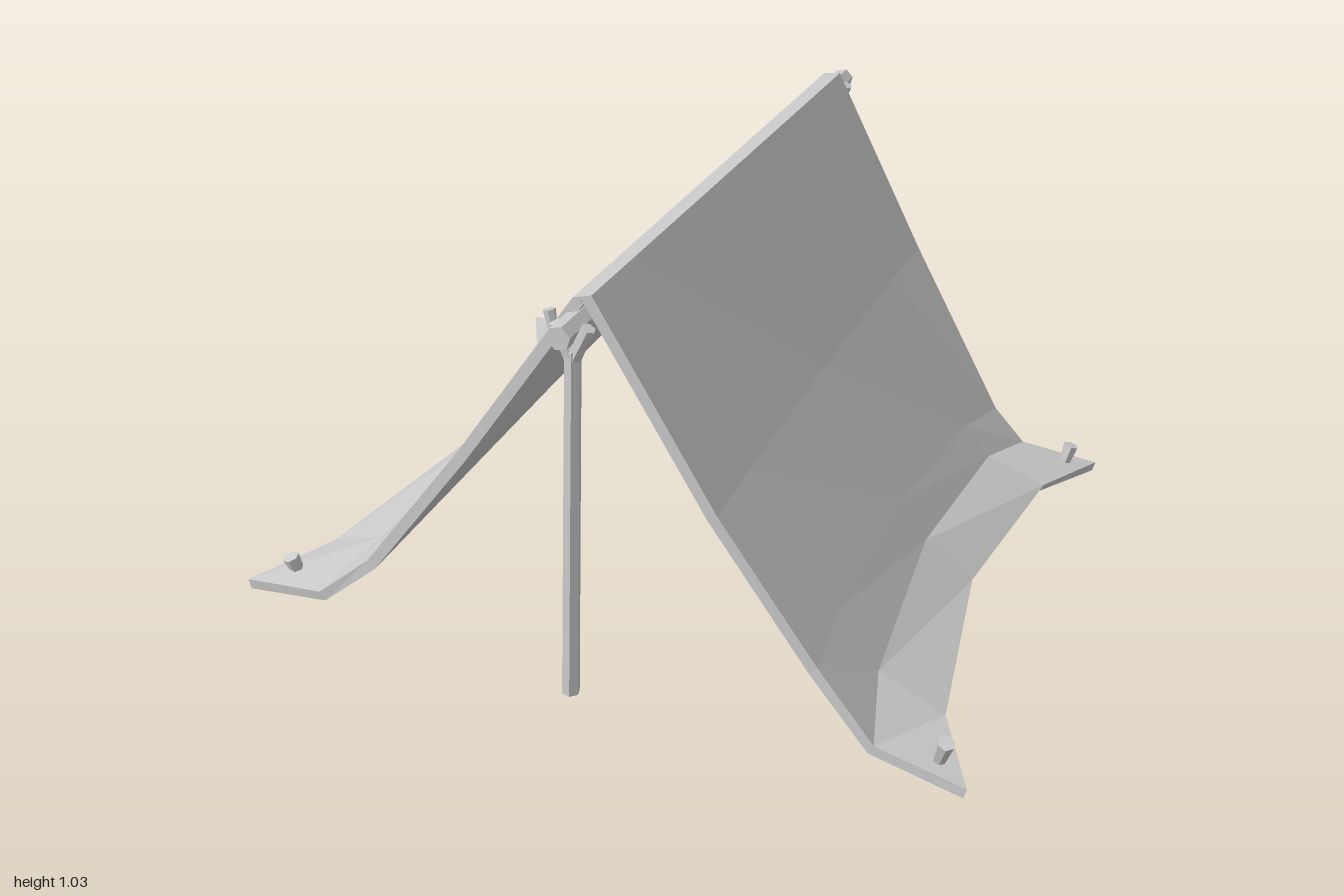
import * as THREE from 'three';

const material = new THREE.MeshStandardMaterial({ color: 0xcccccc, flatShading: true });
const v = (a) => new THREE.Vector3(...a);

// Faceted round bar between two points
function bar(name, from, to, rFrom, rTo, sides = 6) {
  const a = v(from), b = v(to), dir = b.clone().sub(a);
  const mesh = new THREE.Mesh(new THREE.CylinderGeometry(rTo, rFrom, dir.length(), sides), material);
  mesh.position.copy(a).add(b).multiplyScalar(0.5);
  mesh.quaternion.setFromUnitVectors(new THREE.Vector3(0, 1, 0), dir.normalize());
  mesh.name = name;
  return mesh;
}

// Sheet rows from front hem over the ridge to back hem: [left end, right end, inward sag, lift]
const rows = [
  [[-0.43, 0.095, 0.995], [0.88, 0.025, 0.575], 0.16, 0.03],
  [[-0.48, 0.14, 0.80], [0.81, 0.055, 0.40], 0.08, 0.08],
  [[-0.50, 0.29, 0.67], [0.78, 0.145, 0.33], 0.04, 0.05],
  [[-0.55, 0.60, 0.45], [0.77, 0.53, 0.08], 0.01, 0],
  [[-0.60, 1.035, 0.18], [0.745, 0.95, -0.16], 0, 0],
  [[-0.61, 1.022, 0.14], [0.735, 0.943, -0.20], 0, 0],
  [[-0.70, 0.60, -0.12], [0.62, 0.51, -0.48], -0.01, 0],
  [[-0.78, 0.27, -0.34], [0.55, 0.23, -0.70], -0.04, 0.05],
  [[-0.83, 0.165, -0.45], [0.52, 0.10, -0.82], -0.08, 0.07],
  [[-0.88, 0.147, -0.63], [0.51, 0.07, -1.0], -0.18, 0.03],
];
const columns = [0, 0.14, 0.5, 0.86, 1];
const sagShape = [0, 0.6, 1, 0.6, 0];

function sheetGeometry(thickness) {
  const nr = rows.length, nc = columns.length, n = nr * nc;
  const top = [], index = [], rim = [];
  for (const [left, right, sag, lift] of rows) {
    columns.forEach((t, j) => {
      const p = v(left).lerp(v(right), t);
      p.add(new THREE.Vector3(-0.24 * sag, lift, -0.97 * sag).multiplyScalar(sagShape[j]));
      top.push(p.x, p.y, p.z);
    });
  }
  for (let i = 0; i < nr - 1; i++) {
    for (let j = 0; j < nc - 1; j++) {
      const a = i * nc + j, b = a + 1, c = a + nc, d = c + 1;
      index.push(a, b, c, b, d, c);
    }
  }
  // Underside: the upper surface moved inward along its normals
  const geo = new THREE.BufferGeometry();
  geo.setAttribute('position', new THREE.Float32BufferAttribute(top, 3));
  geo.setIndex([...index]);
  geo.computeVertexNormals();
  const normals = geo.attributes.normal.array;
  const all = top.concat(top.map((x, k) => x - thickness * normals[k]));
  const faces = [...index];
  for (let k = 0; k < index.length; k += 3) faces.push(index[k] + n, index[k + 2] + n, index[k + 1] + n);
  // Hem joining both surfaces
  for (let j = 0; j < nc - 1; j++) rim.push(j);
  for (let i = 0; i < nr - 1; i++) rim.push(i * nc + nc - 1);
  for (let j = nc - 1; j > 0; j--) rim.push((nr - 1) * nc + j);
  for (let i = nr - 1; i > 0; i--) rim.push(i * nc);
  rim.forEach((a, k) => {
    const b = rim[(k + 1) % rim.length];
    faces.push(a, a + n, b, b, a + n, b + n);
  });
  const sheet = new THREE.BufferGeometry();
  sheet.setAttribute('position', new THREE.Float32BufferAttribute(all, 3));
  sheet.setIndex(faces);
  sheet.computeVertexNormals();
  return sheet;
}

// Upright with a two-pronged fork holding the ridge pole
function forkedPost(name, bottom, crotch) {
  const post = new THREE.Group();
  post.name = name;
  post.add(bar('shaft', bottom, crotch, 0.02, 0.018));
  const [x, y, z] = crotch;
  for (const s of [-1, 1]) {
    post.add(bar('prong', [x, y - 0.02, z], [x + s * 0.01, y + 0.055, z + s * 0.034], 0.018, 0.015));
  }
  return post;
}

export function createModel() {
  const tent = new THREE.Group();
  tent.name = 'tent';

  const sheet = new THREE.Mesh(sheetGeometry(0.025), material);
  sheet.name = 'canvasSheet';
  tent.add(sheet);

  tent.add(bar('ridgePole', [-0.685, 0.972, 0.165], [0.845, 0.888, -0.215], 0.027, 0.025));
  tent.add(forkedPost('rightPost', [-0.69, 0.10, 0.165], [-0.645, 0.93, 0.167]));
  tent.add(forkedPost('leftPost', [0.745, 0.03, -0.2], [0.772, 0.85, -0.197]));

  // Pegs through the four corners, leaning outward
  const pegs = [
    [[-0.40, 0.09, 0.905], [-0.412, 0.17, 0.93]],
    [[0.80, 0.02, 0.52], [0.822, 0.09, 0.53]],
    [[0.475, 0.06, -0.90], [0.482, 0.135, -0.922]],
    [[-0.79, 0.13, -0.55], [-0.805, 0.195, -0.565]],
  ];
  for (const [low, high] of pegs) tent.add(bar('peg', low, high, 0.012, 0.019));

  return tent;
}
